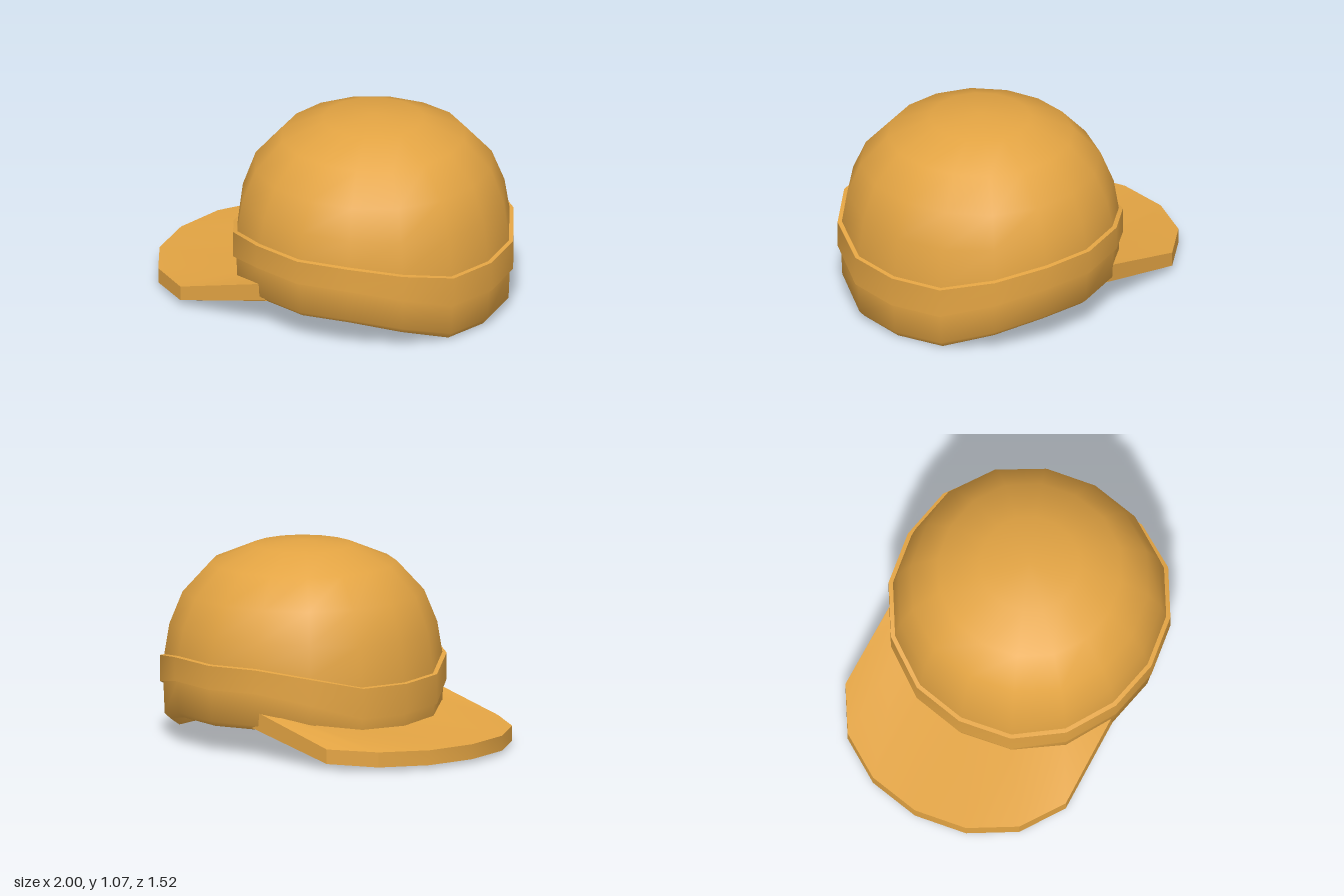
import * as THREE from 'three';
import { toCreasedNormals } from 'three/addons/utils/BufferGeometryUtils.js';

const SIDES = 16;
const CENTER_X = 0.238;
// Per 22.5 degree step from the x ends to the z ends:
// how far the rim and band lift, and how much the slightly square plan swells
const LIFT = [0, 0.05, 0.65, 1.04, 1];
const SWELL = [1, 1.01, 1.02, 1.01, 1];

// Surface through equal-length closed rows of points
function loft(rows, crease) {
  const n = rows[0].length;
  const index = [];
  const flat = rows.flat();
  const same = (p, q) => flat[p].every((v, i) => Math.abs(v - flat[q][i]) < 1e-6);
  const tri = (a, b, c) => {
    if (!same(a, b) && !same(b, c) && !same(a, c)) index.push(a, b, c);
  };
  for (let i = 0; i < rows.length - 1; i++) {
    for (let j = 0; j < n; j++) {
      const a = i * n + j, b = i * n + (j + 1) % n;
      tri(a, a + n, b);
      tri(b, a + n, b + n);
    }
  }
  const geometry = new THREE.BufferGeometry();
  geometry.setAttribute('position', new THREE.Float32BufferAttribute(flat.flat(), 3));
  geometry.setIndex(index);
  return toCreasedNormals(geometry, crease);
}

// Sixteen-sided ring: radius, height at the x ends, extra height at the z ends
function ring([radius, y, lift = 0]) {
  return Array.from({ length: SIDES }, (_, j) => {
    const angle = (j / SIDES) * Math.PI * 2;
    const step = j % 8 > 4 ? 8 - (j % 8) : j % 8;
    const r = radius * SWELL[step];
    return [CENTER_X + r * Math.cos(angle), y + lift * LIFT[step], r * Math.sin(angle)];
  });
}

export function createModel() {
  const group = new THREE.Group();
  group.name = 'cap';
  const material = new THREE.MeshStandardMaterial({ color: 0xe3a443, side: THREE.DoubleSide });
  const add = (name, geometry) => {
    const mesh = new THREE.Mesh(geometry, material);
    mesh.name = name;
    group.add(mesh);
  };

  // Hollow crown: down the lining, round the rim, up the outside
  const crown = [
    [0, 1.045], [0.26, 1.02], [0.48, 0.925], [0.615, 0.775], [0.68, 0.59, 0.035],
    [0.708, 0.375, 0.105], [0.688, 0.2, 0.14], [0.672, 0.03, 0.14],
    [0.705, 0, 0.142], [0.735, 0.035, 0.135],
    [0.742, 0.205, 0.14], [0.738, 0.372, 0.105], [0.71, 0.595, 0.03],
    [0.64, 0.79], [0.495, 0.95], [0.27, 1.045], [0, 1.07],
  ];
  add('crown', loft(crown.map(ring), 1));

  // Raised band round the crown
  const band = [
    [0.73, 0.207, 0.14], [0.76, 0.207, 0.14], [0.76, 0.372, 0.107], [0.73, 0.377, 0.107],
  ];
  add('band', loft(band.map(ring), 0.7));

  // Brim: outer x, z, top, bottom, then inner angle on the crown, top, bottom
  const half = [
    [-0.02, 0.68, 0.255, 0.155, 70, 0.255, 0.155],
    [-0.56, 0.687, 0.11, 0.03, 60, 0.23, 0.135],
    [-0.8, 0.535, 0.103, 0.02, 45, 0.19, 0.105],
    [-0.95, 0.29, 0.1, 0.018, 22.5, 0.15, 0.055],
    [-1, 0, 0.1, 0.018, 0, 0.14, 0.05],
  ];
  const mirrored = half.slice(0, -1).reverse().map(([x, z, top, bottom, angle, ...inner]) =>
    [x, -z, top, bottom, -angle, ...inner]);
  const sections = [...half, ...mirrored].map(([x, z, top, bottom, degrees, innerTop, innerBottom]) => {
    const a = THREE.MathUtils.degToRad(degrees);
    const ix = CENTER_X - 0.72 * Math.cos(a), iz = 0.72 * Math.sin(a);
    return [[x, top, z], [ix, innerTop, iz], [ix, innerBottom, iz], [x, bottom, z]];
  });
  add('brim', loft(sections.reverse(), 0.45));

  return group;
}
